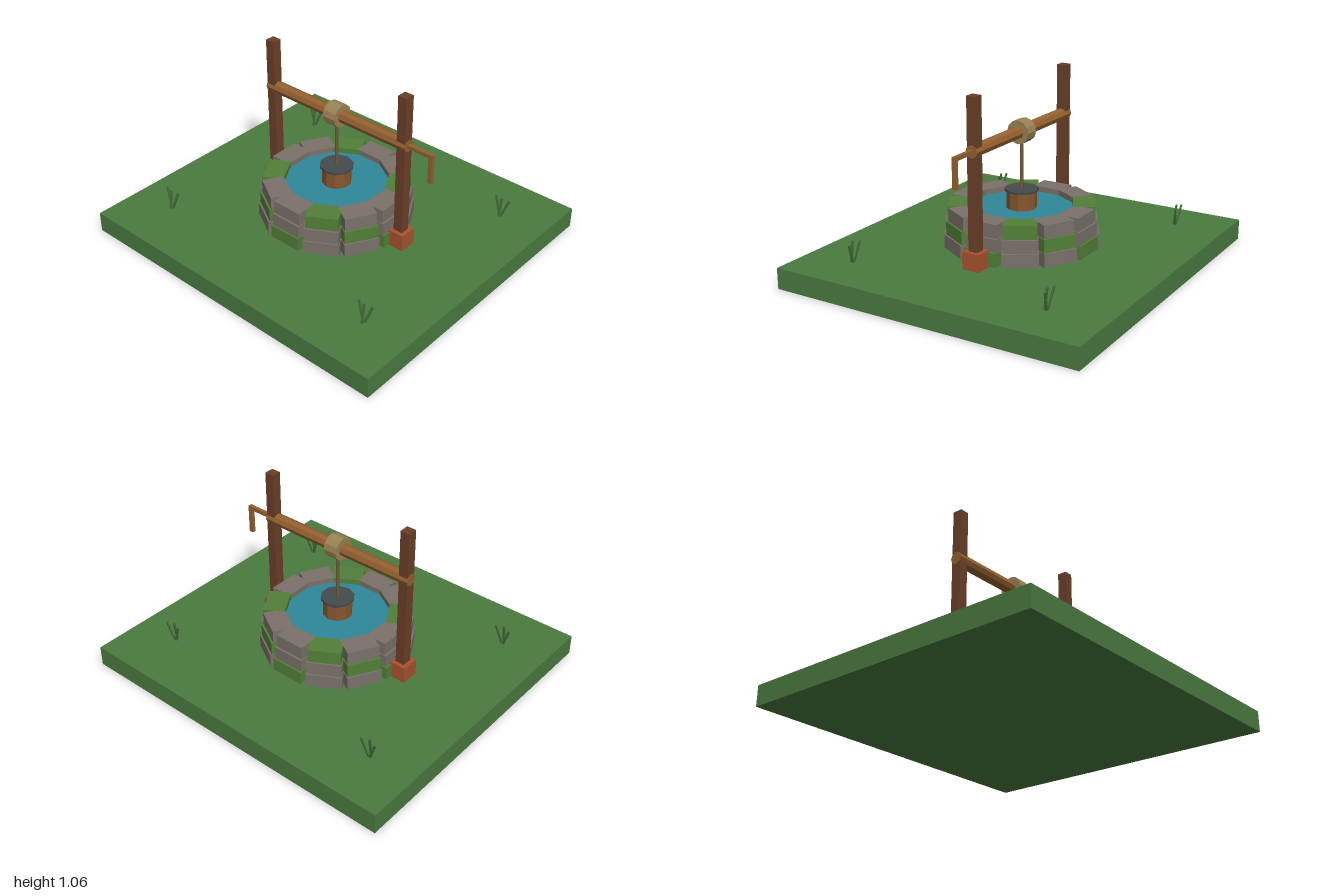
import * as THREE from 'three';

const mat = (color) => new THREE.MeshStandardMaterial({ color, flatShading: true });
const grass = mat(0x4a7a40), stone = mat(0x7a716a), moss = mat(0x527f38);
const darkWood = mat(0x6b3f28), wood = mat(0x94602f), clay = mat(0xa8522f);
const staves = mat(0x85562f), iron = mat(0x454a4d), rope = mat(0x6e5a38);
const drumWood = mat(0x9a8254), waterBlue = mat(0x2f8799), blade = mat(0x44713a);

function add(parent, name, geometry, material, x, y, z) {
  const mesh = new THREE.Mesh(geometry, material);
  mesh.name = name;
  mesh.position.set(x, y, z);
  parent.add(mesh);
  return mesh;
}
const box = (w, h, d) => new THREE.BoxGeometry(w, h, d);
const cyl = (r, h, n) => new THREE.CylinderGeometry(r, r, h, n);

// Three courses of twelve blocks, stepping inwards as they rise
function createWall() {
  const wall = new THREE.Group();
  wall.name = 'stoneWall';
  const inner = 0.285;
  const courses = [
    { y: 0.1735, h: 0.077, outer: 0.43, w: 0.2 },
    { y: 0.249, h: 0.076, outer: 0.42, w: 0.192 },
    { y: 0.325, h: 0.078, outer: 0.408, w: 0.182 },
  ];
  courses.forEach(({ y, h, outer, w }, row) => {
    const geometry = box(w, h, outer - inner);
    const r = (outer + inner) / 2;
    const mossy = [0, 2, 1][row];
    for (let i = 0; i < 12; i++) {
      const a = (i * Math.PI) / 6;
      const block = add(wall, 'wallBlock', geometry, i % 3 === mossy ? moss : stone,
        Math.sin(a) * r, y, Math.cos(a) * r);
      block.rotation.y = a;
    }
  });
  return wall;
}

// Three blades fanned out from one root
function createTuft(x, z) {
  const tuft = new THREE.Group();
  tuft.name = 'grassTuft';
  tuft.position.set(x, 0.12, z);
  const geometry = box(0.013, 0.12, 0.008).translate(0, 0.06, 0);
  for (const side of [-1, 0, 1]) {
    const leaf = add(tuft, 'grassBlade', geometry, blade, side * 0.004, 0, side ? -0.008 : 0.006);
    leaf.rotation.set(-0.12, 0, -side * 0.34);
  }
  return tuft;
}

export function createModel() {
  const model = new THREE.Group();
  model.name = 'well';

  add(model, 'ground', box(2, 0.12, 1.82), grass, 0, 0.06, 0);
  model.add(createWall());
  add(model, 'water', cyl(0.305, 0.02, 12).rotateY(Math.PI / 12), waterBlue, 0, 0.322, 0);

  // Posts and their footings
  for (const side of [-1, 1]) {
    add(model, 'postFooting', box(0.104, 0.098, 0.104), clay, side * 0.465, 0.175, 0);
    add(model, 'post', box(0.056, 0.91, 0.056), darkWood, side * 0.465, 0.605, 0);
  }

  // Winch: axle, drum and crank
  add(model, 'axle', cyl(0.036, 0.99, 8).rotateZ(Math.PI / 2), wood, 0, 0.77, 0);
  add(model, 'drum', cyl(0.067, 0.084, 12).rotateZ(Math.PI / 2), drumWood, 0, 0.77, 0);
  add(model, 'crankArm', box(0.16, 0.022, 0.022), wood, 0.575, 0.77, 0);
  add(model, 'crankHandle', box(0.024, 0.17, 0.022), wood, 0.643, 0.695, 0);

  // Rope and bucket
  add(model, 'rope', cyl(0.01, 0.33, 6), rope, 0, 0.605, 0);
  add(model, 'bucket', cyl(0.085, 0.15, 10), staves, 0, 0.36, 0);
  add(model, 'bucketRim', cyl(0.096, 0.014, 10), iron, 0, 0.437, 0);

  for (const [x, z] of [[-0.73, -0.61], [0.725, -0.575], [-0.73, 0.605], [0.725, 0.625]]) {
    model.add(createTuft(x, z));
  }
  return model;
}
